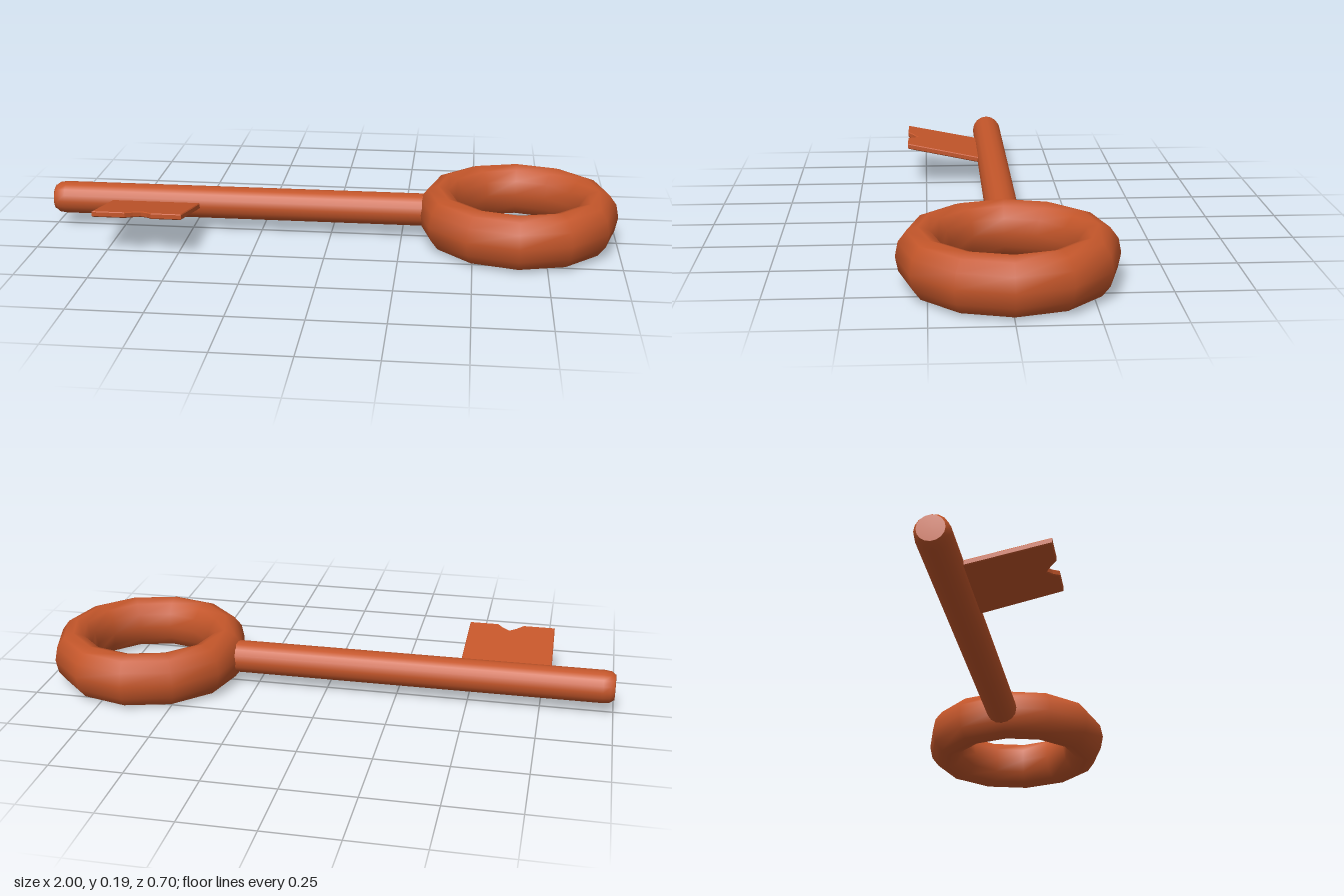
import * as THREE from 'three';

export function createModel() {
  const group = new THREE.Group();
  const material = new THREE.MeshStandardMaterial({ color: 0xc4562a });

  function add(name, geometry, x = 0, y = 0, z = 0) {
    const mesh = new THREE.Mesh(geometry, material);
    mesh.name = name;
    mesh.position.set(x, y, z);
    group.add(mesh);
  }

  // Ring handle: twelve-sided torus, taller than it is thick
  const ring = new THREE.TorusGeometry(0.277, 0.071, 12, 12);
  ring.scale(1, 1, 0.095 / 0.071);
  ring.rotateX(Math.PI / 2);
  add('ringHandle', ring, 0.652, 0.095, 0);

  // Round shaft with softened tip, its inner end sunk into the ring
  const profile = [
    [0, -0.37], [0.057, -0.37], [0.057, 0.96], [0.054, 0.985],
    [0.044, 0.998], [0.044, 1], [0, 1],
  ].map(([r, h]) => new THREE.Vector2(r, h));
  const shaft = new THREE.LatheGeometry(profile, 16);
  shaft.rotateZ(Math.PI / 2);
  add('shaft', shaft, 0, 0.097, -0.006);

  // Notched bit: a thin plate that rises towards its outer edge
  const outline = new THREE.Shape([
    [-0.78, 0], [-0.465, 0], [-0.473, 0.317], [-0.573, 0.317], [-0.592, 0.297],
    [-0.617, 0.281], [-0.642, 0.297], [-0.665, 0.317], [-0.775, 0.317],
  ].map(([x, z]) => new THREE.Vector2(x, z)));
  const bit = new THREE.ExtrudeGeometry(outline, {
    depth: 0.014, bevelEnabled: true, bevelThickness: 0.003,
    bevelSize: 0.003, bevelOffset: -0.001, bevelSegments: 1,
  });
  bit.rotateX(Math.PI / 2);
  const p = bit.attributes.position;
  for (let i = 0; i < p.count; i++) p.setY(i, p.getY(i) + 0.204 * p.getZ(i));
  bit.computeVertexNormals();
  add('bit', bit, 0, 0.097, 0);

  return group;
}
